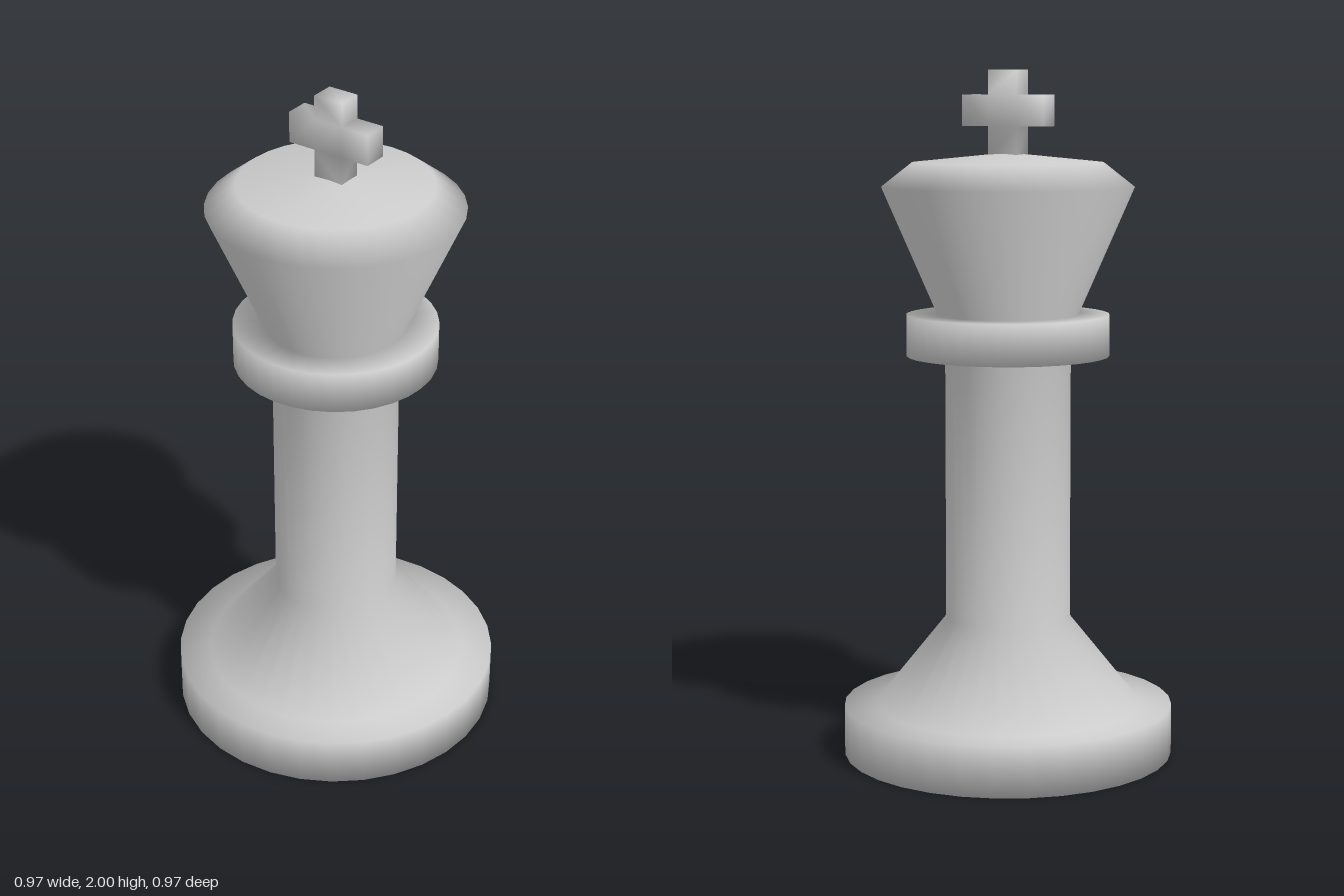
import * as THREE from 'three';
import { mergeVertices } from 'three/addons/utils/BufferGeometryUtils.js';

export function createModel() {
  const group = new THREE.Group();
  const material = new THREE.MeshStandardMaterial({ color: 0xcccccc });
  const add = (name, geometry) => {
    const mesh = new THREE.Mesh(geometry, material);
    mesh.name = name;
    group.add(mesh);
  };

  // Turned body: [radius, height] from the underside up to the crown
  const profile = [
    [0, 0], [0.484, 0], [0.484, 0.147], // base disc
    [0.39, 0.147], [0.183, 0.405], // flared foot
    [0.183, 1.18], // shaft
    [0.295, 1.18], [0.295, 1.3], // collar
    [0.205, 1.3], [0.365, 1.668], // head
    [0.277, 1.737], [0, 1.765], // crown
  ].map(([r, y]) => new THREE.Vector2(r, y));
  add('turnedBody', new THREE.LatheGeometry(profile, 32));

  // Cross finial, one outline with softened normals
  const w = 0.046, arm = 0.13, low = 1.84, high = 1.93, depth = 0.072;
  const outline = new THREE.Shape([
    [-w, 1.75], [w, 1.75], [w, low], [arm, low], [arm, high], [w, high],
    [w, 2], [-w, 2], [-w, high], [-arm, high], [-arm, low], [-w, low],
  ].map(([x, y]) => new THREE.Vector2(x, y)));
  let cross = new THREE.ExtrudeGeometry(outline, { depth, bevelEnabled: false });
  cross.translate(0, 0, -depth / 2);
  cross.deleteAttribute('normal');
  cross.deleteAttribute('uv');
  cross = mergeVertices(cross);
  cross.computeVertexNormals();
  add('crossFinial', cross);

  return group;
}
